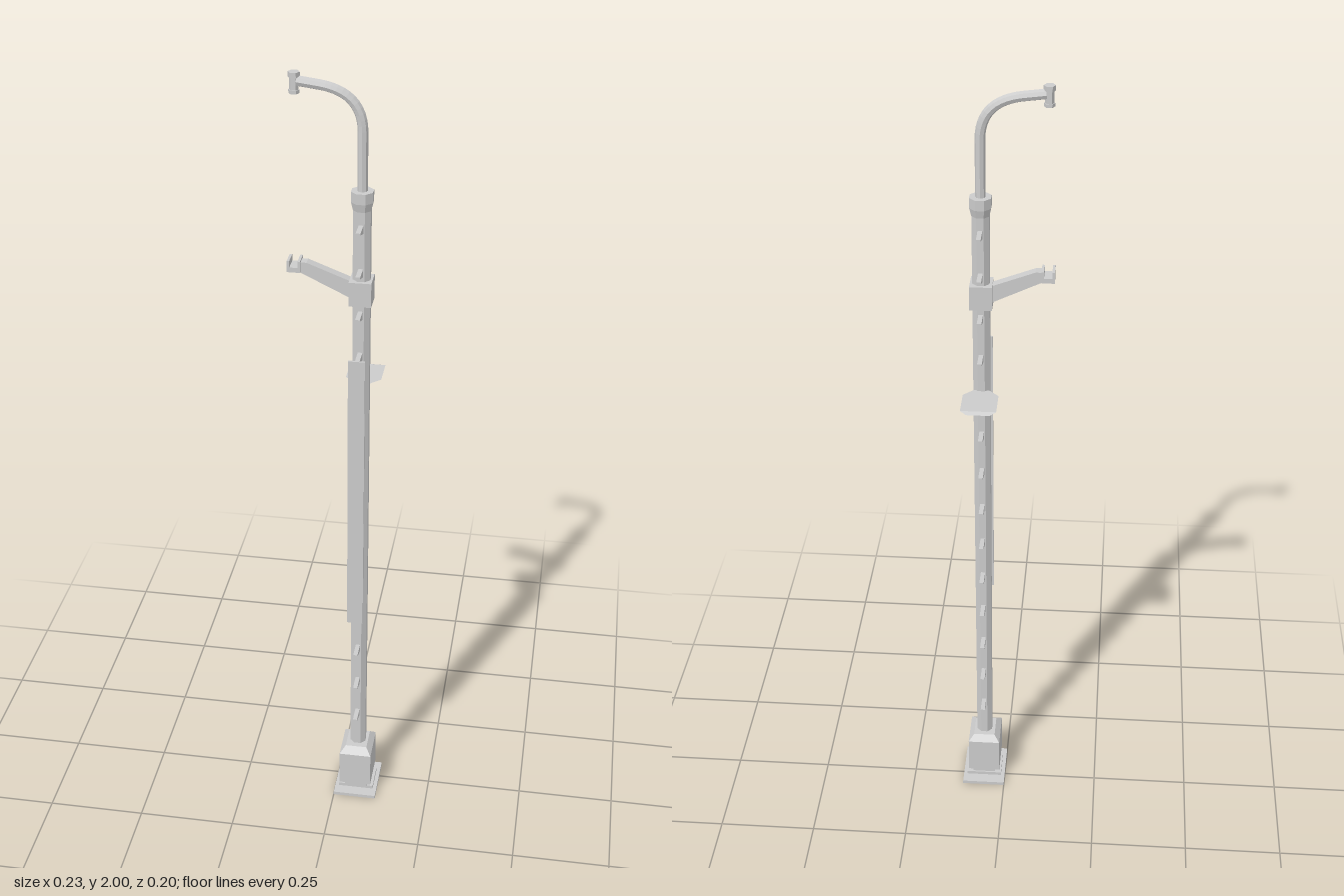
import * as THREE from 'three';
import { ConvexGeometry } from 'three/addons/geometries/ConvexGeometry.js';

export function createModel() {
  const model = new THREE.Group();
  const grey = new THREE.MeshStandardMaterial({ color: 0xcccccc, flatShading: true, side: THREE.DoubleSide });
  const AX = 0.057, AZ = 0.025; // pole axis

  function add(name, geometry, x = 0, y = 0, z = 0) {
    const mesh = new THREE.Mesh(geometry, grey);
    mesh.name = name;
    mesh.position.set(x, y, z);
    model.add(mesh);
    return mesh;
  }
  // box given by its lower and upper limits
  function box(name, x0, x1, y0, y1, z0, z1) {
    return add(name, new THREE.BoxGeometry(x1 - x0, y1 - y0, z1 - z0),
      (x0 + x1) / 2, (y0 + y1) / 2, (z0 + z1) / 2);
  }
  // side outline in x,y extruded along z, centred on z = 0
  function slab(points, depth) {
    const shape = new THREE.Shape(points.map(p => new THREE.Vector2(...p)));
    return new THREE.ExtrudeGeometry(shape, { depth, bevelEnabled: false }).translate(0, 0, -depth / 2);
  }
  // hull of points mirrored about x = 0
  function mirroredHull(points) {
    const all = points.flatMap(([x, y, z]) => [new THREE.Vector3(x, y, z), new THREE.Vector3(-x, y, z)]);
    return new ConvexGeometry(all);
  }

  // base and cabinet
  box('basePlate', 0, 0.113, 0, 0.009, -0.046, 0.093);
  box('footFlange', 0.01, 0.103, 0.009, 0.018, -0.016, 0.064);
  box('cabinetNeck', 0.027, 0.087, 0.018, 0.036, -0.012, 0.066);
  box('cabinet', 0.014, 0.098, 0.036, 0.135, -0.024, 0.08);
  add('cabinetRoof', mirroredHull([
    [0.042, 0.135, -0.024], [0.042, 0.135, 0.08],
    [0.028, 0.15, -0.008], [0.028, 0.15, 0.06],
  ]), 0.056);

  // octagonal pole with a flared collar
  const profile = [[0, 0.13], [0.022, 0.13], [0.022, 1.69], [0.027, 1.71], [0.027, 1.735], [0, 1.735]];
  const pole = new THREE.LatheGeometry(profile.map(p => new THREE.Vector2(...p)), 8, Math.PI / 8);
  add('pole', pole, AX, 0, AZ);

  // wedge steps on the front and back of the pole
  const wedge = slab([[0.015, 0.008], [0.066, 0.008], [0.066, 0.004], [0.015, -0.014]], 0.011);
  for (let i = 0; i < 14; i++) {
    for (const side of [-1, 1]) {
      add('step', wedge, AX, 0.26 + i * 0.107, AZ).rotation.y = side * Math.PI / 2;
    }
  }

  // tall thin panel carried on the front steps
  box('frontPanel', 0.036, 0.076, 0.59, 1.34, 0.092, 0.097);

  // flat lamp head behind the pole
  add('rearLamp', mirroredHull([
    [0.018, 1.238, 0.01], [0.043, 1.238, -0.015], [0.043, 1.238, -0.09], [0.028, 1.233, -0.1],
    [0.015, 1.228, -0.01], [0.015, 1.228, -0.085],
  ]), AX);

  // clamp and rising side arm with its end bracket
  box('clamp', 0.03, 0.083, 1.46, 1.52, -0.003, 0.054);
  add('sideArm', slab([[0.035, 1.515], [-0.07, 1.555], [-0.088, 1.555], [-0.088, 1.531], [0.035, 1.472]], 0.024), 0, 0, AZ);
  add('armBracket', slab([[-0.115, 1.532], [-0.084, 1.532], [-0.084, 1.56], [-0.09, 1.56],
    [-0.09, 1.544], [-0.109, 1.544], [-0.109, 1.56], [-0.115, 1.56]], 0.04), 0, 0, AZ);

  // curved tube at the top
  const path = new THREE.CurvePath();
  const v = (x, y) => new THREE.Vector3(x, y, AZ);
  path.add(new THREE.LineCurve3(v(AX, 1.72), v(AX, 1.87)));
  path.add(new THREE.CubicBezierCurve3(v(AX, 1.87), v(AX, 1.94), v(0.015, 1.965), v(-0.035, 1.973)));
  path.add(new THREE.LineCurve3(v(-0.035, 1.973), v(-0.09, 1.98)));
  add('topTube', new THREE.TubeGeometry(path, 28, 0.012, 8, false));

  // hexagonal fitting at the end of the tube
  const hex = (r, h) => new THREE.CylinderGeometry(r, r, h, 6).rotateY(Math.PI / 6);
  add('endFitting', hex(0.0105, 0.046), -0.096, 1.975, AZ);
  add('endFittingCap', hex(0.0135, 0.012), -0.096, 1.994, AZ);
  add('endFittingFoot', hex(0.0125, 0.008), -0.096, 1.956, AZ);

  return model;
}
